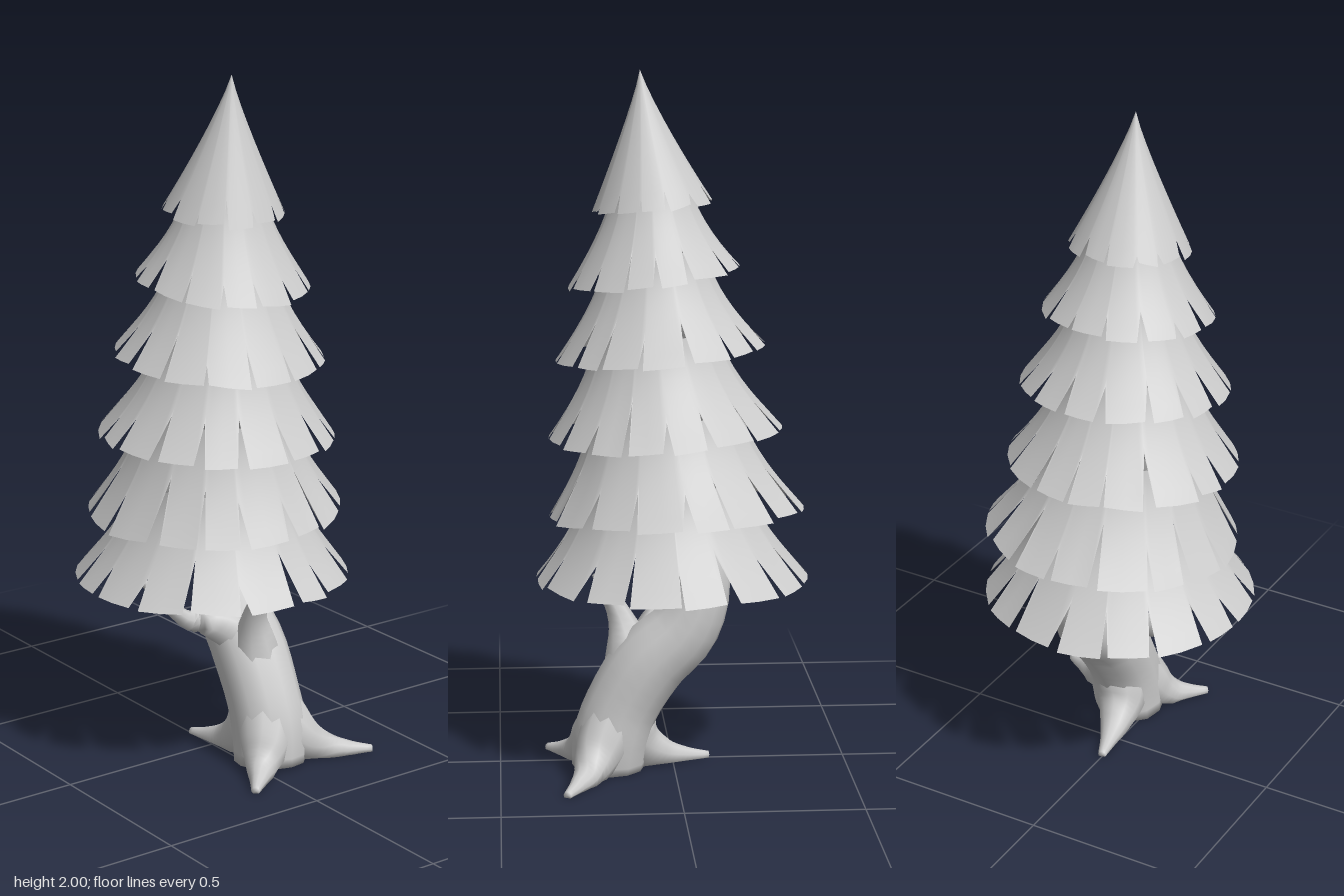
import * as THREE from 'three';

const material = new THREE.MeshStandardMaterial({ color: 0xcccccc });
const leafMaterial = new THREE.MeshStandardMaterial({ color: 0xcccccc, side: THREE.DoubleSide });

function seeded(seed) {
  return () => {
    seed = (seed * 16807) % 2147483647;
    return seed / 2147483647;
  };
}

function makeMesh(name, positions, index, mat) {
  const geometry = new THREE.BufferGeometry();
  geometry.setAttribute('position', new THREE.Float32BufferAttribute(positions, 3));
  geometry.setIndex(index);
  geometry.computeVertexNormals();
  const mesh = new THREE.Mesh(geometry, mat);
  mesh.name = name;
  return mesh;
}

// Tapered limb through [x, y, z, radius] points, flattened where it meets the ground
function limb(name, points, sides = 10, rows = 14) {
  const path = new THREE.CatmullRomCurve3(points.map(p => new THREE.Vector3(p[0], p[1], p[2])), false, 'catmullrom');
  const radii = new THREE.CatmullRomCurve3(points.map(p => new THREE.Vector3(p[3], 0, 0)), false, 'catmullrom');
  const ref = new THREE.Vector3(0, 0, 1);
  const positions = [], index = [];
  // The first and last rings shrink to a point to close the ends
  for (let i = -1; i <= rows + 1; i++) {
    const t = Math.min(1, Math.max(0, i / rows));
    const r = i < 0 || i > rows ? 0 : radii.getPoint(t).x;
    const c = path.getPoint(t), tangent = path.getTangent(t);
    const n1 = ref.clone().cross(tangent).normalize();
    const n2 = tangent.clone().cross(n1);
    for (let j = 0; j < sides; j++) {
      const a = j / sides * Math.PI * 2;
      const p = c.clone().addScaledVector(n1, r * Math.cos(a)).addScaledVector(n2, r * Math.sin(a));
      positions.push(p.x, Math.max(0.005, p.y), p.z);
    }
  }
  for (let i = 0; i < rows + 2; i++) {
    for (let j = 0; j < sides; j++) {
      const k = (j + 1) % sides;
      const a = i * sides + j, b = i * sides + k;
      index.push(a, b, a + sides, b, b + sides, a + sides);
    }
  }
  return makeMesh(name, positions, index, material);
}

// Flared skirt of needles: columns of vertices, cut short at the notches between teeth
function foliageTier(tier, seed) {
  const { y, height, radius, topRadius, x, topX, z, tiltX, tiltZ, teeth, power, notch } = tier;
  const random = seeded(seed);
  const starts = [];
  for (let i = 0; i < teeth; i++) starts.push((i + 0.3 * (random() - 0.5)) / teeth * Math.PI * 2);
  starts.push(starts[0] + Math.PI * 2);
  const columns = [];
  for (let i = 0; i < teeth; i++) {
    const at = f => starts[i] + (starts[i + 1] - starts[i]) * f;
    const left = 0.02 + 0.14 * random(), right = 0.02 + 0.14 * random();
    const endLeft = 0.96 + 0.04 * random(), endRight = 0.96 + 0.04 * random();
    columns.push([at(0), 1 - notch * (0.6 + 0.8 * random()) / height]);
    columns.push([at(left), endLeft]);
    columns.push([at(0.5), (endLeft + endRight) / 2]);
    columns.push([at(1 - right), endRight]);
  }
  const rows = 8, positions = [], index = [];
  for (const [a, end] of columns) {
    for (let j = 0; j <= rows; j++) {
      const t = end * j / rows;
      const r = topRadius + (radius - topRadius) * Math.pow(t, power);
      const px = r * Math.sin(a), pz = r * Math.cos(a);
      positions.push(
        px + topX + (x - topX) * t,
        y + height * (1 - t) - (tiltX * px + tiltZ * pz) * t,
        pz + z * t
      );
    }
  }
  const stride = rows + 1;
  for (let i = 0; i < columns.length; i++) {
    const k = (i + 1) % columns.length;
    for (let j = 0; j < rows; j++) {
      const a = i * stride + j, b = k * stride + j;
      index.push(a, a + 1, b, b, a + 1, b + 1);
    }
  }
  return makeMesh('foliageTier', positions, index, leafMaterial);
}

export function createModel() {
  const tree = new THREE.Group();
  tree.name = 'tree';

  // Leaning trunk
  const trunk = new THREE.Group();
  trunk.name = 'trunk';
  trunk.add(limb('stem', [
    [0.19, 0.005, -0.07, 0.105],
    [0.18, 0.10, -0.075, 0.11],
    [0.145, 0.20, -0.075, 0.108],
    [0.07, 0.32, -0.08, 0.11],
    [-0.03, 0.42, -0.09, 0.1],
    [-0.085, 0.55, -0.1, 0.075],
    [-0.07, 0.70, -0.08, 0.06],
    [-0.02, 0.95, -0.03, 0.03]
  ], 12, 22));

  // Bare branches below the foliage
  trunk.add(limb('sideBranch', [
    [0.13, 0.22, -0.07, 0.085],
    [0.13, 0.35, -0.06, 0.065],
    [0.155, 0.45, -0.04, 0.035],
    [0.22, 0.57, -0.03, 0.014]
  ], 8));
  trunk.add(limb('frontBranch', [
    [0.10, 0.24, -0.085, 0.07],
    [0.06, 0.36, -0.045, 0.07],
    [0.035, 0.415, 0.04, 0.05],
    [0.025, 0.435, 0.12, 0.025],
    [0.02, 0.59, 0.275, 0.01]
  ], 8, 20));

  // Three roots curving out of the trunk and over the ground
  for (const [x, z] of [[-0.105, 0], [0.36, 0.11], [0.315, -0.35]]) {
    const along = f => [0.18 + (x - 0.18) * f, -0.07 + (z + 0.07) * f];
    const [x1, z1] = along(0.24), [x2, z2] = along(0.5), [x3, z3] = along(0.76);
    trunk.add(limb('root', [
      [0.155, 0.20, -0.075, 0.085],
      [x1, 0.085, z1, 0.075],
      [x2, 0.034, z2, 0.048],
      [x3, 0.018, z3, 0.026],
      [x, 0.012, z, 0.012]
    ], 10, 20));
  }
  tree.add(trunk);

  // Foliage tiers from the bottom up
  const foliage = new THREE.Group();
  foliage.name = 'foliage';
  const base = { height: 0.3, power: 1.6, z: 0, tiltZ: 0 };
  const tiers = [
    { y: 0.545, radius: 0.398, topRadius: 0.227, x: 0, topX: 0.02, tiltX: 0, teeth: 16, notch: 0.1 },
    { y: 0.74, radius: 0.37, topRadius: 0.217, x: -0.01, topX: 0.02, tiltX: 0.04, teeth: 16, notch: 0.12, z: -0.017, tiltZ: 0.05 },
    { y: 0.967, radius: 0.34, topRadius: 0.176, x: 0.02, topX: 0.045, tiltX: 0.05, teeth: 16, notch: 0.1 },
    { y: 1.2, radius: 0.302, topRadius: 0.141, x: 0.035, topX: 0.045, tiltX: 0.09, teeth: 15, notch: 0.085 },
    { y: 1.415, radius: 0.248, topRadius: 0.102, x: 0.05, topX: 0.06, tiltX: 0.12, teeth: 14, notch: 0.07 },
    { y: 1.612, radius: 0.174, topRadius: 0, x: 0.055, topX: 0.09, tiltX: 0.1, teeth: 13, notch: 0.05, height: 0.388, power: 1.15 }
  ];
  tiers.forEach((tier, i) => foliage.add(foliageTier({ ...base, ...tier }, 101 + i * 7919)));
  tree.add(foliage);
  return tree;
}
